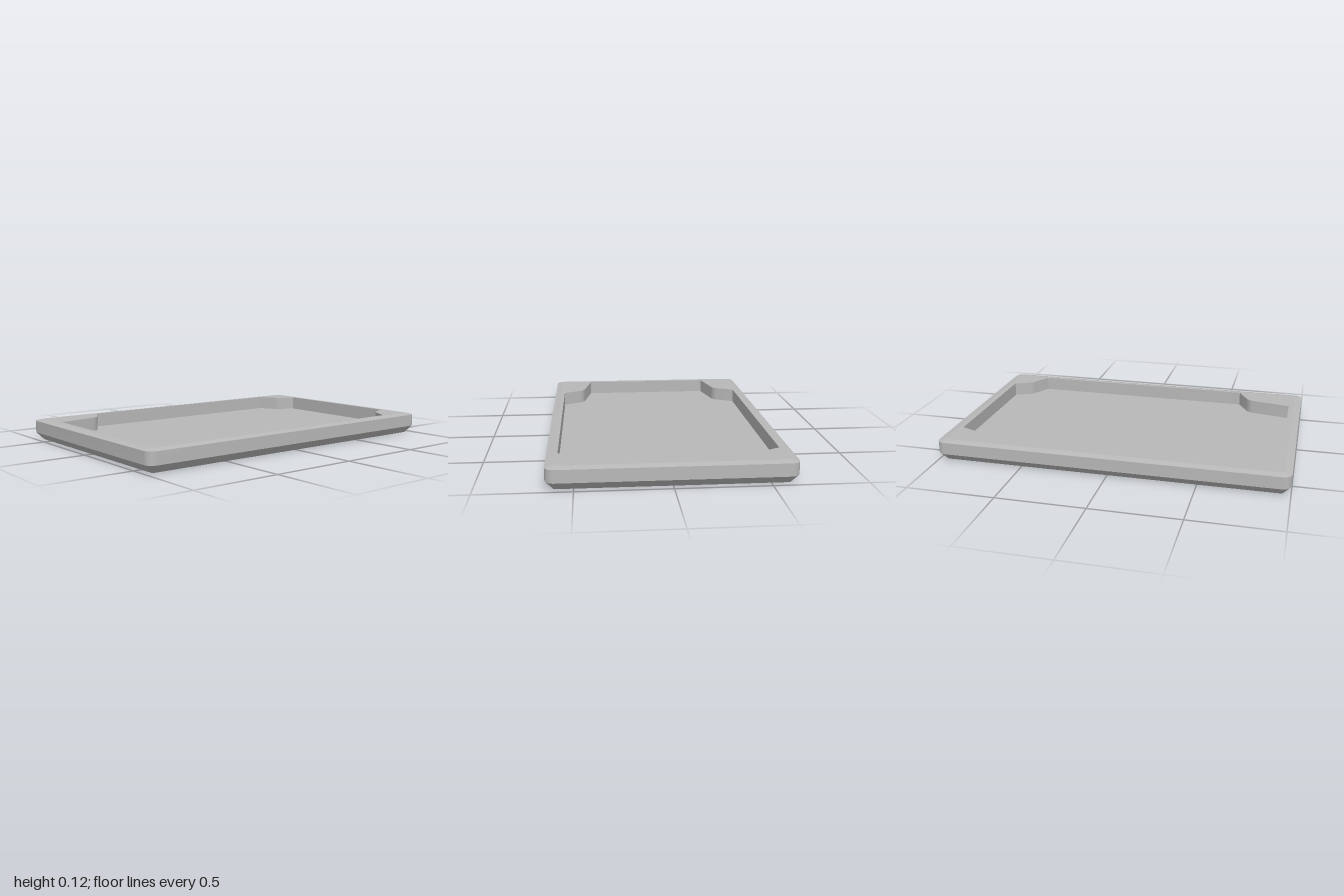
import * as THREE from 'three';
import { toCreasedNormals } from 'three/addons/utils/BufferGeometryUtils.js';

const trayGrey = new THREE.MeshStandardMaterial({ color: 0xb8b8b8 });
trayGrey.name = 'tray grey';

// Rounded rectangle outline, counter-clockwise from above (plan y is -z)
function roundedRect(halfX, halfZ, radius, steps = 8) {
  const points = [];
  [[1, 1], [-1, 1], [-1, -1], [1, -1]].forEach(([sx, sy], k) => {
    for (let i = 0; i <= steps; i++) {
      const a = (k + i / steps) * Math.PI / 2;
      points.push(new THREE.Vector2(
        sx * (halfX - radius) + radius * Math.cos(a),
        sy * (halfZ - radius) + radius * Math.sin(a)));
    }
  });
  return points;
}

// Joins successive outlines, each { points, y }, with a band of faces
function loft(rings, crease) {
  const pos = [];
  for (let r = 0; r + 1 < rings.length; r++) {
    const n = rings[r].points.length;
    for (let i = 0; i < n; i++) {
      const corner = (ring, j) => [ring.points[j % n].x, ring.y, -ring.points[j % n].y];
      const a = corner(rings[r], i), b = corner(rings[r], i + 1);
      const c = corner(rings[r + 1], i + 1), d = corner(rings[r + 1], i);
      pos.push(...a, ...b, ...c, ...a, ...c, ...d);
    }
  }
  const geometry = new THREE.BufferGeometry();
  geometry.setAttribute('position', new THREE.Float32BufferAttribute(pos, 3));
  return toCreasedNormals(geometry, crease);
}

// Flat horizontal plate, facing up or down
function plate(points, y, hole, down = false) {
  const shape = new THREE.Shape(points);
  if (hole) shape.holes.push(new THREE.Path(hole));
  return new THREE.ShapeGeometry(shape).rotateX(down ? Math.PI / 2 : -Math.PI / 2).translate(0, y, 0);
}

// Recess outline with a softened gusset in each corner
function recessOutline() {
  const s = new THREE.Shape();
  s.moveTo(0.583, 0.757);
  s.lineTo(0.475, 0.818);
  s.quadraticCurveTo(0.458, 0.828, 0.45, 0.848);
  s.lineTo(0.415, 0.934);
  s.lineTo(-0.415, 0.934);
  s.lineTo(-0.45, 0.848);
  s.quadraticCurveTo(-0.458, 0.828, -0.475, 0.818);
  s.lineTo(-0.583, 0.757);
  s.lineTo(-0.583, -0.597);
  s.lineTo(-0.475, -0.657);
  s.quadraticCurveTo(-0.452, -0.67, -0.445, -0.708);
  s.lineTo(-0.403, -0.928);
  s.lineTo(0.403, -0.928);
  s.lineTo(0.445, -0.708);
  s.quadraticCurveTo(0.452, -0.67, 0.475, -0.657);
  s.lineTo(0.583, -0.597);
  const points = s.getPoints(6);
  return points;
}

export function createModel() {
  const group = new THREE.Group();
  group.name = 'tray';
  const add = (name, geometry) => {
    const mesh = new THREE.Mesh(geometry, trayGrey);
    mesh.name = name;
    group.add(mesh);
  };

  const base = roundedRect(0.6, 0.955, 0.006);
  const side = roundedRect(0.643, 1, 0.05);
  const rim = roundedRect(0.603, 0.96, 0.03);
  const recess = recessOutline();
  const floorY = 0.042, topY = 0.124;

  // Outer shell: chamfered foot, upright side, shallow top bevel
  add('chamferedFoot', loft([{ points: base, y: 0 }, { points: side, y: 0.045 }], 0.5));
  add('outerSide', loft([{ points: side, y: 0.045 }, { points: side, y: 0.115 }], 0.5));
  add('topBevel', loft([{ points: side, y: 0.115 }, { points: rim, y: topY }], 0.5));
  add('underside', plate(base, 0, null, true));

  // Rim and recess
  add('rim', plate(rim, topY, recess));
  add('recessWall', loft([{ points: recess, y: topY }, { points: recess, y: floorY }], 0.5));
  add('recessFloor', plate(recess, floorY));
  return group;
}
